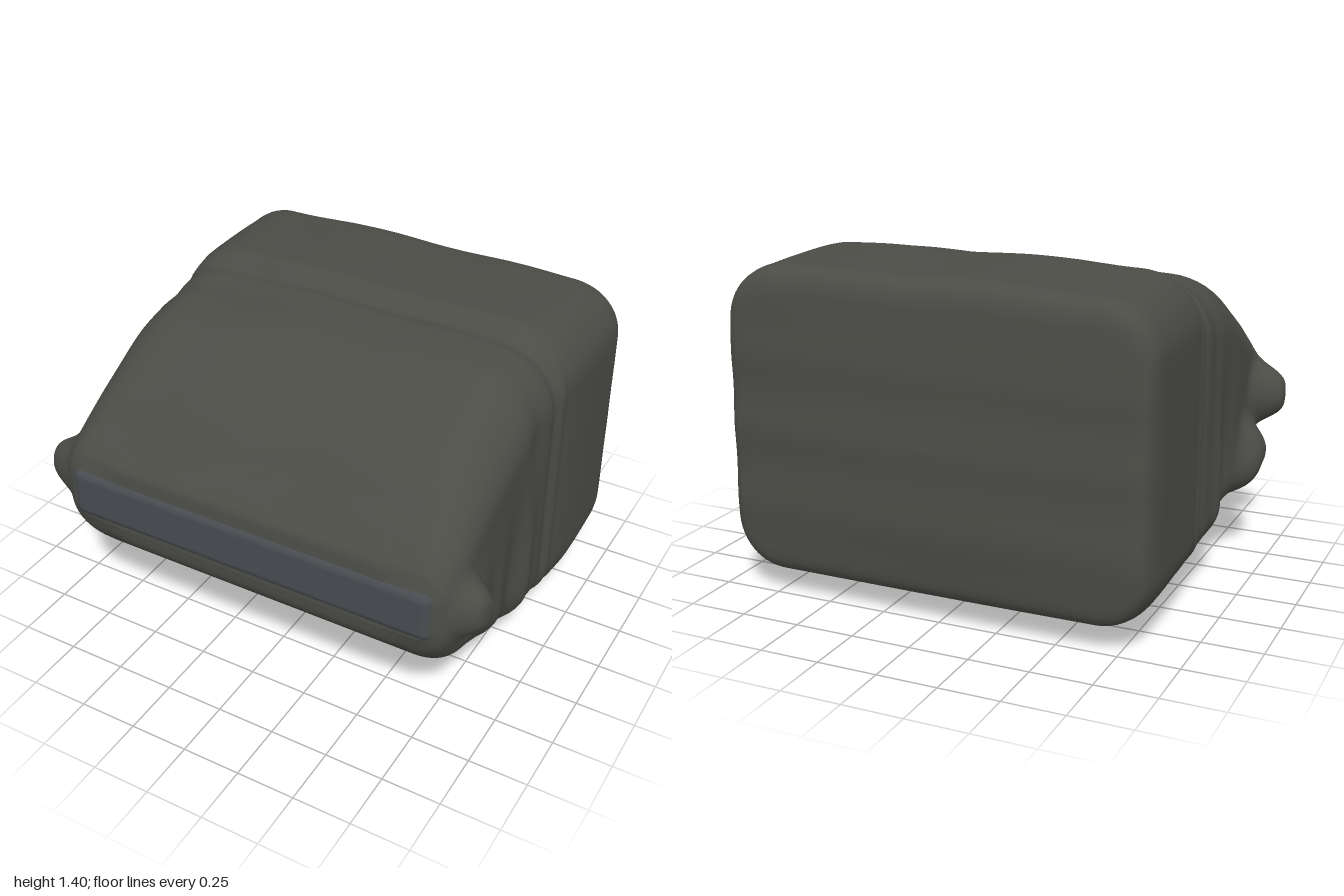
import * as THREE from 'three';
import { RoundedBoxGeometry } from 'three/addons/geometries/RoundedBoxGeometry.js';

const fabric = new THREE.MeshStandardMaterial({ color: 0x4c4c47 });
const strapFabric = new THREE.MeshStandardMaterial({ color: 0x484c50 });

// Cross-sections from back to front: z, bottom, top, half width, corner radius
const SECTIONS = [
  [-0.772, 0.16, 1.29, 0.85, 0.16],
  [-0.757, 0.125, 1.335, 0.882, 0.19],
  [-0.71, 0.098, 1.37, 0.905, 0.22],
  [-0.6, 0.075, 1.38, 0.91, 0.23],
  [-0.4, 0.048, 1.392, 0.908, 0.24],
  [-0.25, 0.04, 1.398, 0.9, 0.25],
  [-0.2, 0.045, 1.392, 0.893, 0.25],
  [-0.165, 0.05, 1.368, 0.9, 0.25],
  [-0.13, 0.055, 1.348, 0.88, 0.25],
  [-0.08, 0.06, 1.355, 0.89, 0.25],
  [0, 0.07, 1.345, 0.89, 0.25],
  [0.2, 0.13, 1.285, 0.885, 0.25],
  [0.4, 0.215, 1.2, 0.885, 0.24],
  [0.55, 0.29, 1.11, 0.885, 0.22],
  [0.65, 0.35, 1.02, 0.885, 0.19],
  [0.73, 0.43, 0.945, 0.875, 0.16],
  [0.78, 0.5, 0.88, 0.855, 0.12],
  [0.807, 0.58, 0.81, 0.82, 0.08],
];

const { smoothstep } = THREE.MathUtils;
const bump = (v, c, w) => Math.exp(-(((v - c) / w) ** 2));
// Flat-topped lump centred on (y, z)
const lump = (y, z, cy, cz, ry, rz) => Math.exp(-((((y - cy) / ry) ** 2 + ((z - cz) / rz) ** 2) ** 2));

// Smooth blend between neighbouring cross-sections
function sectionAt(z) {
  const last = SECTIONS.length - 1;
  let i = 0;
  while (i < last - 1 && z > SECTIONS[i + 1][0]) i++;
  const a = SECTIONS[i], b = SECTIONS[i + 1];
  const before = SECTIONS[Math.max(i - 1, 0)], after = SECTIONS[Math.min(i + 2, last)];
  const h = b[0] - a[0], t = (z - a[0]) / h;
  return a.map((v, k) => {
    const m0 = h * (b[k] - before[k]) / (b[0] - before[0]);
    const m1 = h * (after[k] - v) / (after[0] - a[0]);
    return v * (2 * t ** 3 - 3 * t * t + 1) + m0 * (t ** 3 - 2 * t * t + t)
      + b[k] * (3 * t * t - 2 * t ** 3) + m1 * (t ** 3 - t * t);
  });
}

// Rounded rectangle, counter-clockwise seen from +z
function outline([, bottom, top, hw, r]) {
  const pts = [], cy = (bottom + top) / 2, hh = (top - bottom) / 2;
  const corners = [[1, 1], [-1, 1], [-1, -1], [1, -1]];
  const corner = (q, a) => [
    corners[q][0] * (hw - r) + r * Math.cos(a),
    cy + corners[q][1] * (hh - r) + r * Math.sin(a),
  ];
  for (let q = 0; q < 4; q++) {
    for (let k = 0; k <= 12; k++) pts.push(corner(q, (q + k / 12) * Math.PI / 2));
    // subdivided straight edge to the next corner
    const n = q % 2 ? 28 : 48, a = (q + 1) * Math.PI / 2;
    const s = corner(q, a), e = corner((q + 1) % 4, a);
    for (let k = 1; k < n; k++) pts.push([s[0] + (e[0] - s[0]) * k / n, s[1] + (e[1] - s[1]) * k / n]);
  }
  return pts;
}

// Soft folds, knots and sagging of the cloth
function fold(x, y, z) {
  const side = smoothstep(Math.abs(x), 0.64, 0.83);
  const front = smoothstep(z, -0.1, 0.1);

  // vertical gathers on the sides
  const low = bump(y, 0.45, 0.3), high = bump(y, 1.1, 0.2);
  let out = front * low * (0.025 * bump(z, 0.06, 0.06) - 0.015 * bump(z, 0.19, 0.06) + 0.012 * bump(z, 0.33, 0.06));
  out -= front * high * 0.02 * bump(z, 0.01, 0.07);
  // knotted ends of the band, with bunched cloth below on the right
  if (x < 0) {
    const knob = 0.135 * lump(y, z, 0.7, 0.66, 0.125, 0.095);
    out += Math.hypot(knob, 0.1 * lump(y, z, 0.4, 0.5, 0.19, 0.14));
  } else {
    out += 0.095 * lump(y, z, 0.69, 0.66, 0.115, 0.09) + 0.025 * bump(y, 0.65, 0.15) * bump(z, 0.53, 0.1);
  }
  const dx = Math.sign(x) * side * out;

  let dy = 0;
  // slanting crease, dip behind the flap and waviness on top
  const upper = smoothstep(y, 0.85, 1);
  dy -= upper * 0.02 * bump(z - 0.62 + 0.35 * (x - 0.1), 0, 0.035) * bump(x, -0.05, 0.25);
  dy += upper * front * 0.018 * bump(z, 0.16 - 0.12 * x, 0.12);
  dy -= upper * 0.02 * bump(z, -0.02, 0.08) * smoothstep(-x, 0, 0.5);
  dy += upper * (0.004 * Math.sin(10 * x + 3.5) - 0.02 * smoothstep(-x, 0.35, 0.75));
  // sagging underside, fading out towards the back
  const under = (1 - smoothstep(y, 0.12, 0.4)) * smoothstep(z, -0.72, -0.35);
  dy += under * (0.04 * smoothstep(-x, 0.4, 0.65) - 0.04 * bump(x, -0.3, 0.17));
  // padded lips above and below the band
  const nose = smoothstep(z, 0.6, 0.74) * (1 - smoothstep(Math.abs(x), 0.55, 0.75));
  const dz = nose * 0.015 * (bump(y, 0.87, 0.05) + bump(y, 0.52, 0.06));

  // bowed back panel with padded ridges
  const back = smoothstep(-z, 0.7, 0.77);
  const pads = bump(y, 0.4, 0.1) + bump(y, 0.72, 0.09) + bump(y, 1.02, 0.09);
  const bow = 0.035 * bump(y, 0.5, 0.5) * bump(x, -0.2, 0.9) + 0.009 * pads;

  const shift = 0.015 + 0.013 * smoothstep(-z, 0, 0.4);
  return [x + shift + dx, y + dy, z + dz - back * bow];
}

function bodyGeometry() {
  const rings = [];
  const shrink = (s, z, f) => {
    const cy = (s[1] + s[2]) / 2;
    return outline(s).map(([x, y]) => [x * f, cy + (y - cy) * f, z]);
  };
  const first = SECTIONS[0], last = SECTIONS[SECTIONS.length - 1];
  // back panel
  for (let i = 0; i < 20; i++) {
    const f = Math.max(0.001, i / 20);
    rings.push(shrink(first, first[0] - 0.01 * (1 - f ** 6), f));
  }
  // sides from back to nose
  for (let i = 0; i <= 130; i++) {
    const z = first[0] + (last[0] - first[0]) * Math.sin(i / 130 * Math.PI / 2) ** 1.15;
    rings.push(outline(sectionAt(z)).map(([x, y]) => [x, y, z]));
  }
  // nose panel
  for (let i = 1; i <= 5; i++) rings.push(shrink(last, last[0] + 0.002 * i, Math.max(0.001, 1 - i / 5)));

  const n = rings[0].length, positions = [], index = [];
  rings.forEach(ring => ring.forEach(p => positions.push(...fold(...p))));
  for (let i = 0; i < rings.length - 1; i++) {
    for (let j = 0; j < n; j++) {
      const k = (j + 1) % n;
      const a = i * n + j, b = i * n + k, c = (i + 1) * n + k, d = (i + 1) * n + j;
      index.push(a, b, c, a, c, d);
    }
  }
  const g = new THREE.BufferGeometry();
  g.setAttribute('position', new THREE.Float32BufferAttribute(positions, 3));
  g.setIndex(index);
  g.computeVertexNormals();
  return g;
}

export function createModel() {
  const model = new THREE.Group();

  const body = new THREE.Mesh(bodyGeometry(), fabric);
  body.name = 'bagBody';

  // Flat band across the nose, its edges tucked under the padded lips
  const band = new THREE.Mesh(new RoundedBoxGeometry(1.64, 0.23, 0.09, 8, 0.044), strapFabric);
  band.name = 'frontBand';
  band.position.set(0.02, 0.702, 0.781);

  model.add(body, band);
  return model;
}
